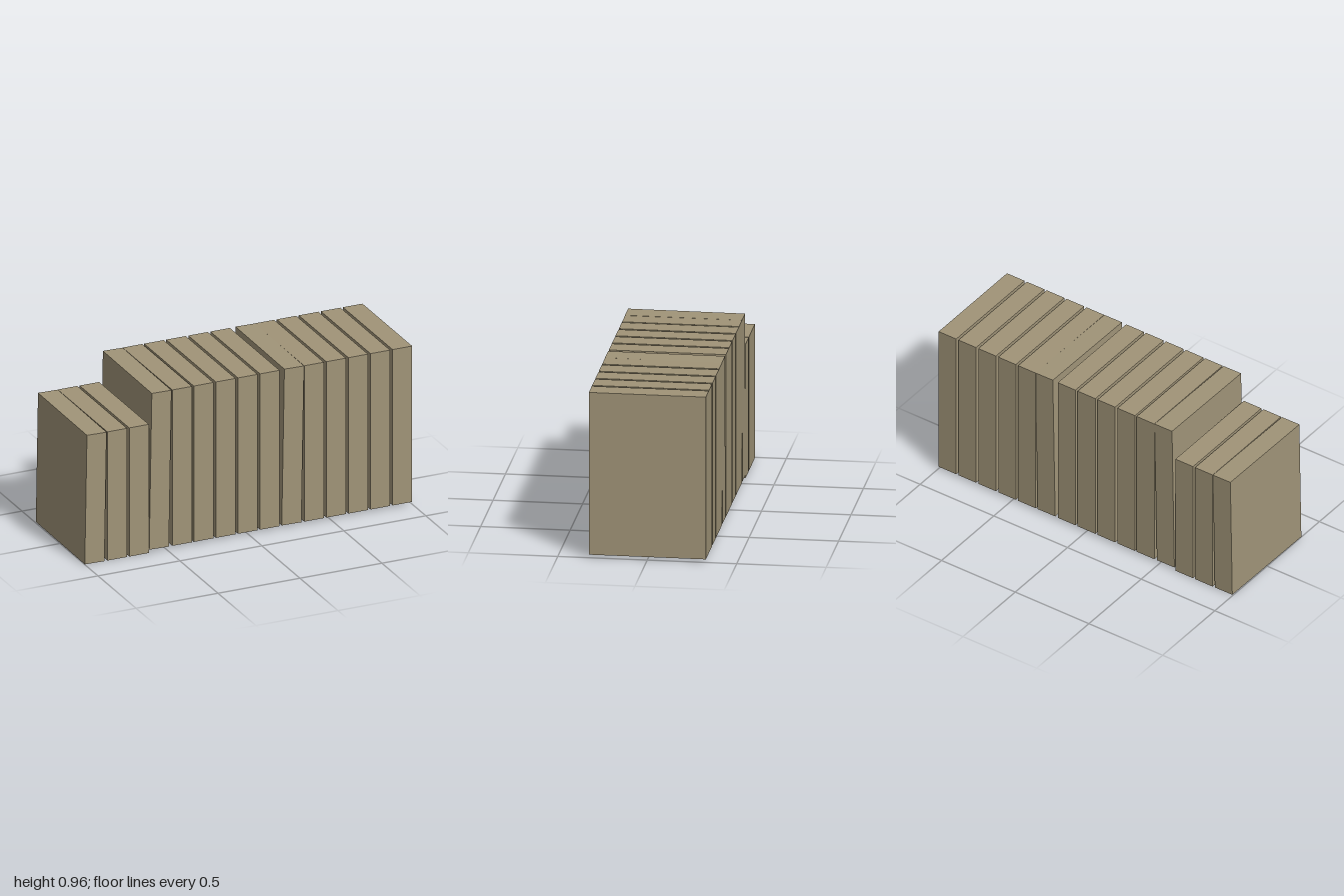
import * as THREE from 'three';

const DEPTH = 0.654;

export function createModel() {
  const group = new THREE.Group();
  const cover = new THREE.MeshStandardMaterial({ color: 0xa09478 });
  cover.name = 'tanCover';

  // one closed book: left foot at x, standing on y, optionally leaning to the right
  function addBook(name, x, y, height, lean = 0) {
    const width = 0.119;
    const geo = new THREE.BoxGeometry(width, height, DEPTH);
    geo.translate(width / 2, height / 2, 0);
    const book = new THREE.Mesh(geo, cover);
    book.name = name;
    book.position.set(x, y, 0);
    if (lean) book.rotation.set(0, -0.007, -lean);
    group.add(book);
  }

  // three short books, the first one leaning
  [-0.998, -0.862, -0.729].forEach((x, i) =>
    addBook('shortBook' + (i + 1), x, i ? 0 : 0.002, 0.775, i ? 0 : 0.017));

  // twelve tall books, the first and seventh leaning
  for (let i = 0; i < 12; i++) {
    const leaning = i % 6 === 0 && i < 7;
    const x = -0.605 + i * 0.1348 + (i === 1 ? 0.004 : 0);
    addBook('tallBook' + (i + 1), x, leaning ? 0.019 : 0.017, 0.939, leaning ? 0.017 : 0);
  }
  return group;
}
